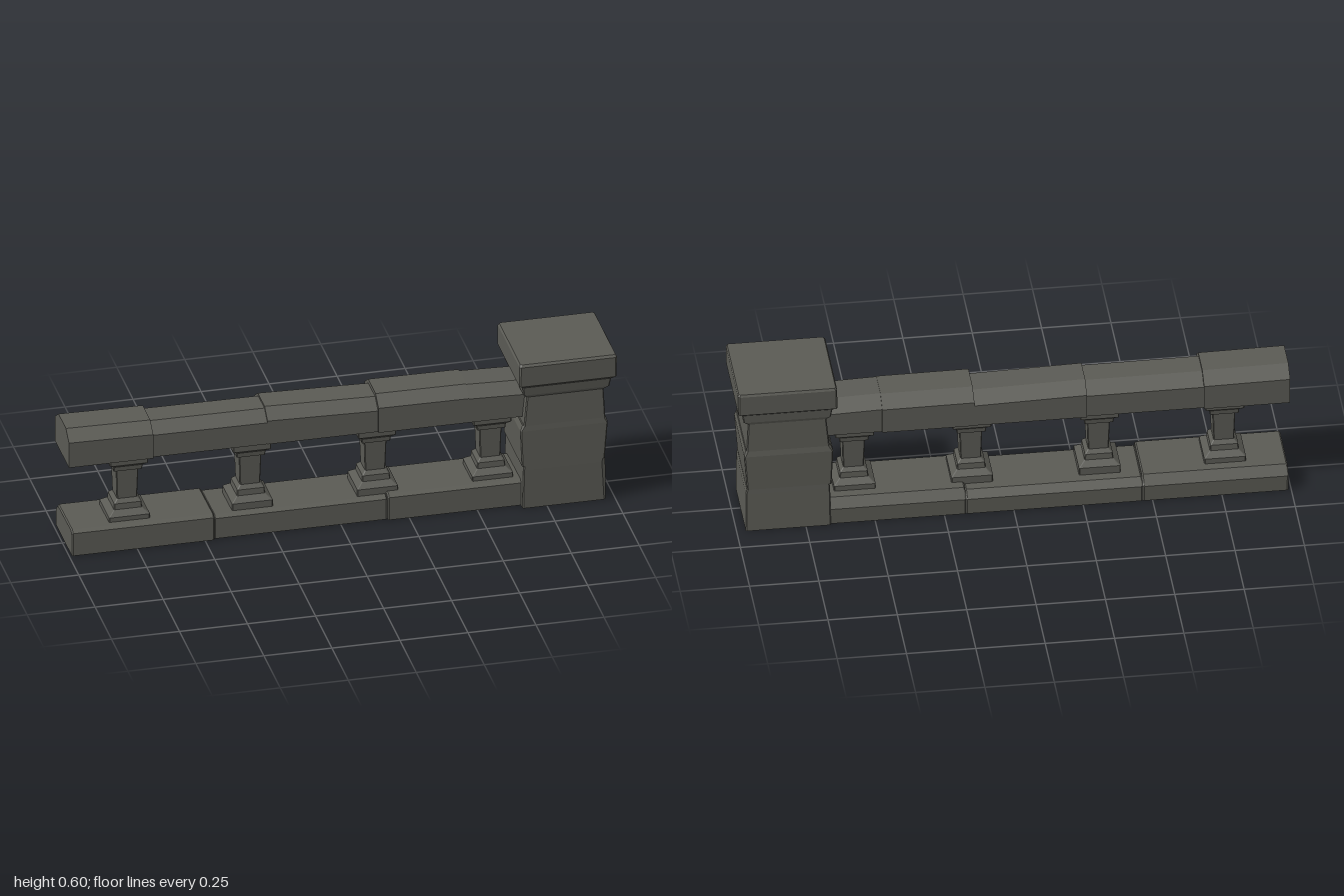
import * as THREE from 'three';

const stone = new THREE.MeshStandardMaterial({ color: 0x5a5a54, flatShading: true });
stone.name = 'dark stone';

// Closed solid through rings of equal point count, each ring counter-clockwise seen from the far end
function loft(rings) {
  const pos = [];
  const tri = (...pts) => pts.forEach((p) => pos.push(...p));
  const n = rings[0].length;
  for (let r = 0; r < rings.length - 1; r++) {
    for (let i = 0; i < n; i++) {
      const j = (i + 1) % n;
      const a = rings[r][i], b = rings[r][j], c = rings[r + 1][j], d = rings[r + 1][i];
      tri(a, b, c);
      tri(a, c, d);
    }
  }
  const first = rings[0], last = rings[rings.length - 1];
  for (let i = 1; i < n - 1; i++) {
    tri(first[0], first[i + 1], first[i]);
    tri(last[0], last[i], last[i + 1]);
  }
  const geo = new THREE.BufferGeometry();
  geo.setAttribute('position', new THREE.Float32BufferAttribute(pos, 3));
  geo.computeVertexNormals();
  return geo;
}

function part(name, rings) {
  const mesh = new THREE.Mesh(loft(rings), stone);
  mesh.name = name;
  return mesh;
}

// Horizontal rectangle with cut corners; chip is the extra cut on the front left corner
function slab(y, x0, x1, z0, z1, c = 0.004, chip = c) {
  return [
    [x1 - chip, y, z1], [x1, y, z1 - chip], [x1, y, z0 + c], [x1 - c, y, z0],
    [x0 + c, y, z0], [x0, y, z0 + c], [x0, y, z1 - c], [x0 + c, y, z1],
  ];
}

// Base block section: sloped back edge, narrow bevel at the front
const baseRing = (x, top, front, s = 0) => [
  [x, 0, front - s], [x, 0, -0.142 + s], [x, 0.063, -0.145 + s], [x, top - 0.004 - s, -0.115 + s],
  [x, top - s, front - 0.015 - s], [x, top - 0.01 - s, front - s],
];

// Handrail section: flat underside and two broad upper chamfers
const railRing = (x, top, back, front) => [
  [x, 0.356, front], [x, 0.356, back], [x, top - 0.036, back],
  [x, top, back + 0.052], [x, top, front - 0.046], [x, top - 0.036, front],
];

export function createModel() {
  const model = new THREE.Group();
  model.name = 'balustrade';

  // Base course: start x, end x, top, front face
  const base = new THREE.Group();
  base.name = 'baseCourse';
  [[-0.99, -0.465, 0.1, 0.105], [-0.465, 0.172, 0.091, 0.096], [0.172, 0.7, 0.1, 0.104]].forEach(
    ([x0, x1, top, front]) => base.add(part('baseBlock', [
      baseRing(x0, top, front, 0.004), baseRing(x0 + 0.005, top, front),
      baseRing(x1 - 0.005, top, front), baseRing(x1, top, front, 0.004),
    ])),
  );
  model.add(base);

  // Handrail stones: start x, end x, top at each end, back, front
  const rail = new THREE.Group();
  rail.name = 'handrail';
  [
    [-1, -0.69, 0.492, 0.488, -0.112, 0.1],
    [-0.69, -0.268, 0.48, 0.478, -0.104, 0.09],
    [-0.268, 0.138, 0.486, 0.476, -0.11, 0.092],
    [0.138, 0.47, 0.491, 0.489, -0.112, 0.1],
    [0.47, 0.7, 0.487, 0.48, -0.106, 0.1],
  ].forEach(([x0, x1, t0, t1, back, front]) =>
    rail.add(part('railStone', [railRing(x0, t0, back, front), railRing(x1, t1, back, front)])));
  model.add(rail);

  // Square balusters: height and half width pairs
  const profile = [
    [0.088, 0.075], [0.117, 0.075], [0.136, 0.052], [0.158, 0.05], [0.172, 0.037],
    [0.29, 0.041], [0.291, 0.052], [0.309, 0.054], [0.322, 0.07], [0.358, 0.07],
  ];
  [-0.77, -0.318, 0.142, 0.565].forEach((x) => {
    const baluster = part('baluster', profile.map(([y, h]) => slab(y, -h, h, -h, h, 0.003)));
    baluster.position.set(x, 0, -0.005);
    model.add(baluster);
  });

  // End post: three slightly uneven stones
  const post = new THREE.Group();
  post.name = 'endPost';
  post.add(part('lowerStone', [
    slab(0, 0.66, 0.967, -0.15, 0.131, 0.004, 0.008),
    slab(0.155, 0.662, 0.966, -0.144, 0.136, 0.004, 0.016),
    slab(0.172, 0.664, 0.962, -0.143, 0.136, 0.004, 0.008),
  ]));
  post.add(part('middleStone', [
    slab(0.172, 0.657, 0.961, -0.143, 0.137),
    slab(0.315, 0.651, 0.972, -0.146, 0.138),
    slab(0.336, 0.66, 0.966, -0.142, 0.136, 0.008),
  ]));
  post.add(part('upperStone', [
    slab(0.336, 0.664, 0.963, -0.142, 0.138),
    slab(0.458, 0.676, 0.957, -0.141, 0.134),
  ]));

  // Post moulding and capstone
  post.add(part('moulding', [
    slab(0.452, 0.672, 0.96, -0.141, 0.136),
    slab(0.466, 0.66, 0.975, -0.15, 0.148),
    slab(0.506, 0.654, 0.982, -0.154, 0.154),
  ]));
  post.add(part('capstone', [
    slab(0.501, 0.652, 0.983, -0.155, 0.155),
    slab(0.514, 0.64, 0.996, -0.172, 0.171),
    slab(0.592, 0.64, 0.998, -0.173, 0.172, 0.006),
    slab(0.6, 0.645, 0.994, -0.168, 0.164, 0.006),
  ]));
  model.add(post);

  return model;
}
